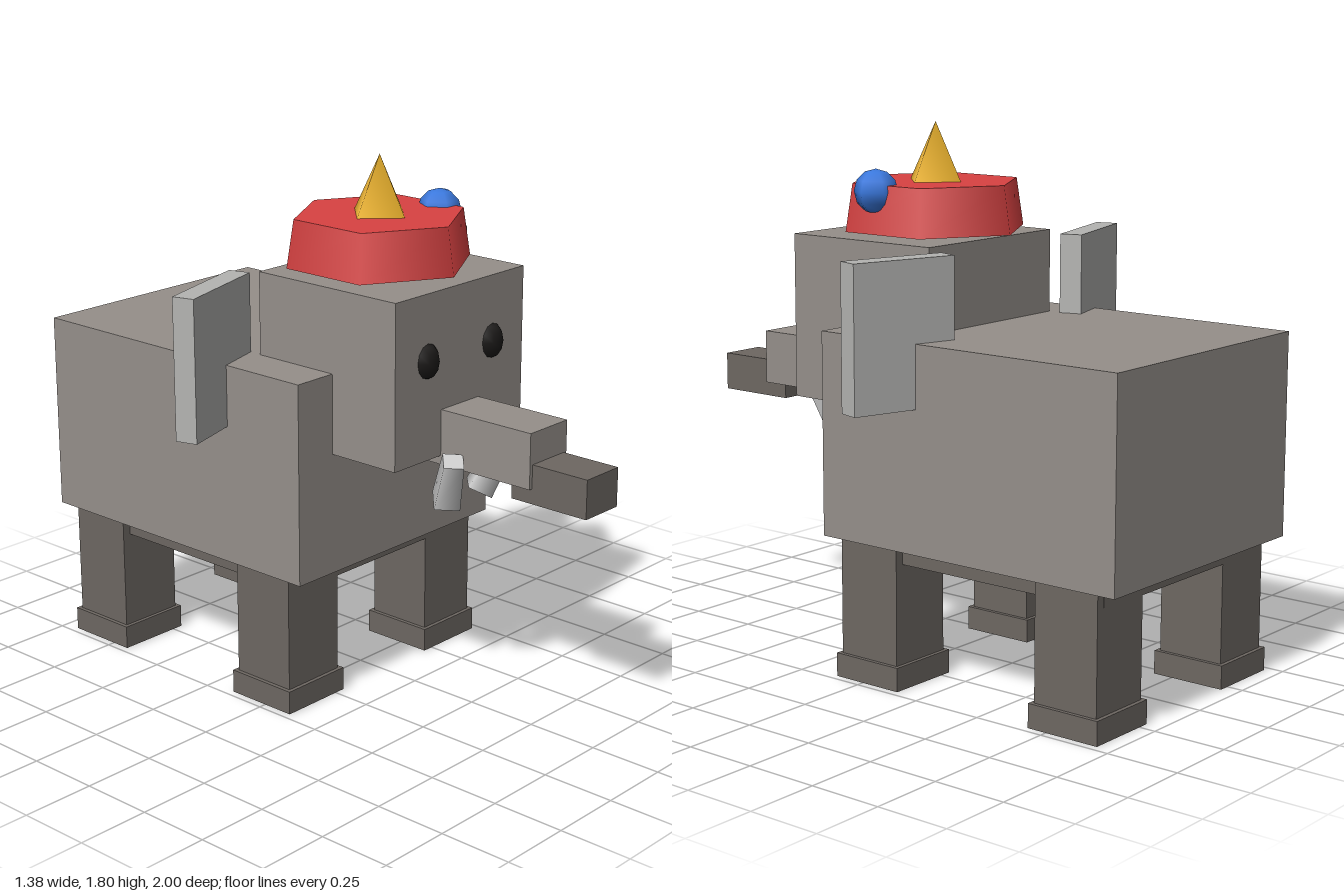
import * as THREE from 'three';

const mat = (color) => new THREE.MeshStandardMaterial({ color });

export function createModel() {
  const model = new THREE.Group();
  const skin = mat(0x958f8a), dark = mat(0x6d6762), earGrey = mat(0xb4b4b2);
  const ivory = mat(0xd8d8d6), black = mat(0x1c1a19);
  const red = mat(0xd94242), gold = mat(0xe8b02c), blue = mat(0x3a78dd);

  const add = (name, geometry, material, x, y, z) => {
    const mesh = new THREE.Mesh(geometry, material);
    mesh.name = name;
    mesh.position.set(x, y, z);
    model.add(mesh);
    return mesh;
  };
  // Box given by its width and its y and z ranges
  const box = (name, material, x, width, y0, y1, z0, z1) =>
    add(name, new THREE.BoxGeometry(width, y1 - y0, z1 - z0), material, x, (y0 + y1) / 2, (z0 + z1) / 2);

  // Body, head and trunk
  box('body', skin, 0, 0.95, 0.47, 1.15, -1, 0.165);
  box('belly', dark, 0, 0.86, 0.415, 0.5, -0.93, 0.1);
  box('head', skin, 0, 0.634, 0.88, 1.43, -0.155, 0.43);
  box('trunk', skin, 0, 0.186, 0.85, 1.035, 0.29, 0.79);
  box('trunkTip', dark, 0, 0.16, 0.8, 0.93, 0.71, 1);

  for (const s of [-1, 1]) {
    const side = s > 0 ? 'left' : 'right';

    // Legs and feet
    for (const [end, z] of [['Front', -0.018], ['Back', -0.812]]) {
      box(`${side}${end}Leg`, dark, s * 0.343, 0.235, 0.04, 0.5, z - 0.1175, z + 0.1175);
      box(`${side}${end}Foot`, dark, s * 0.343, 0.263, 0, 0.08, z - 0.131, z + 0.131);
    }

    // Ears, swept forward at the outer edge
    const ear = add(`${side}Ear`, new THREE.BoxGeometry(0.37, 0.476, 0.076), earGrey, s * 0.501, 1.18, -0.185);
    ear.rotation.y = -s * 0.29;

    // Eyes
    const eye = add(`${side}Eye`, new THREE.SphereGeometry(1, 6, 6), black, s * 0.16, 1.21, 0.43);
    eye.scale.set(0.05, 0.058, 0.031);

    // Tusks, leaning back and inward towards the lower end
    const top = new THREE.Vector3(s * 0.132, 0.89, 0.515);
    const bottom = new THREE.Vector3(s * 0.084, 0.727, 0.448);
    const axis = top.clone().sub(bottom);
    const mid = top.clone().add(bottom).multiplyScalar(0.5);
    const tusk = add(`${side}Tusk`, new THREE.CylinderGeometry(0.046, 0.06, axis.length(), 4), ivory, mid.x, mid.y, mid.z);
    tusk.quaternion.setFromUnitVectors(new THREE.Vector3(0, 1, 0), axis.normalize());
  }

  // Hat with spike and ball
  add('hat', new THREE.CylinderGeometry(0.29, 0.315, 0.16, 6), red, 0, 1.525, 0.083);
  add('hatSpike', new THREE.ConeGeometry(0.11, 0.197, 4), gold, 0, 1.7015, 0.083);
  add('hatBall', new THREE.SphereGeometry(0.074, 6, 6), blue, 0.24, 1.583, 0.135);

  return model;
}
